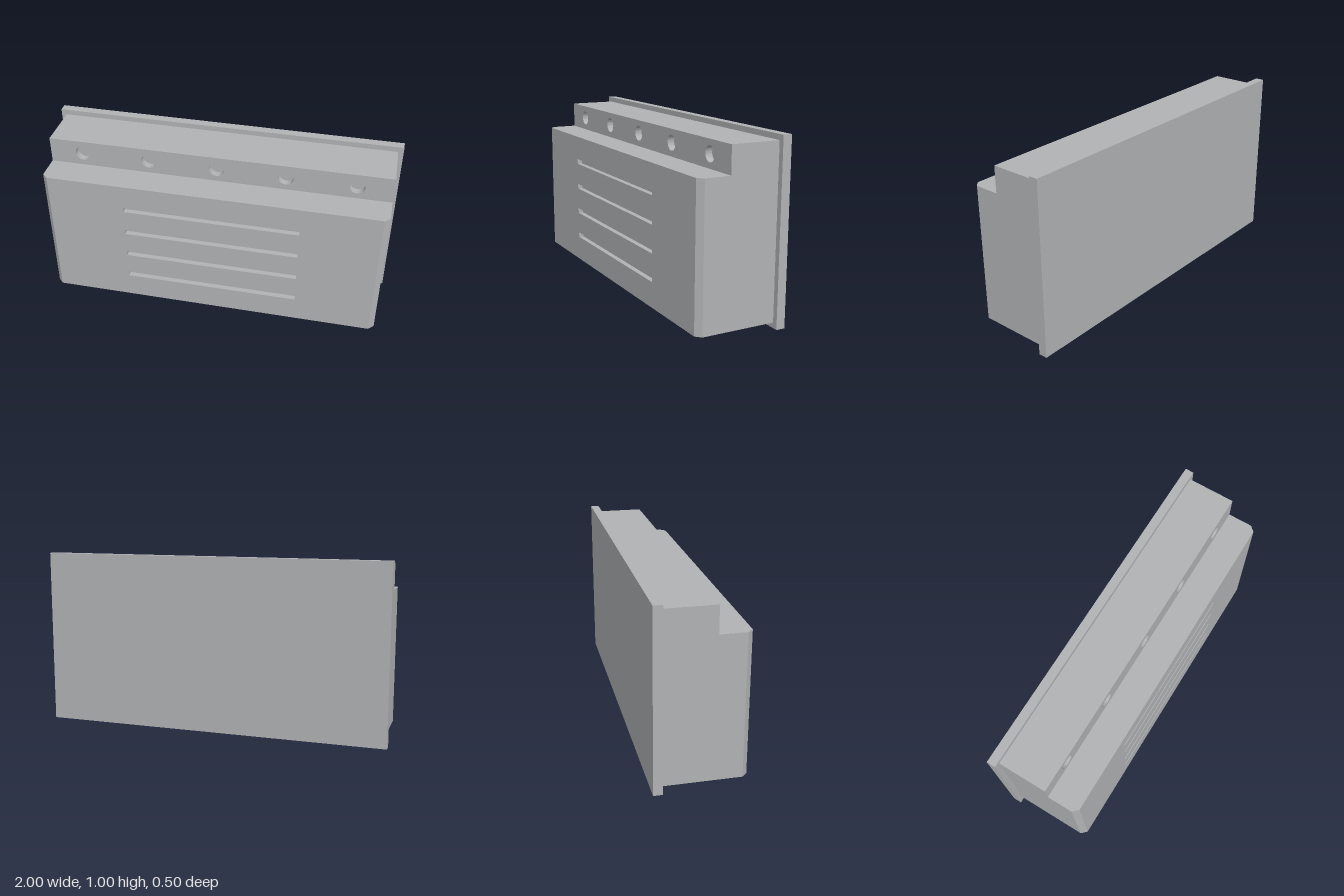
import * as THREE from 'three';
import { toCreasedNormals } from 'three/addons/utils/BufferGeometryUtils.js';

const metal = new THREE.MeshStandardMaterial({ color: 0xb0b2b4 });
metal.name = 'light grey metal';

// Box given by its minimum and maximum corners
function block(name, [x0, y0, z0], [x1, y1, z1]) {
  const geo = new THREE.BoxGeometry(x1 - x0, y1 - y0, z1 - z0);
  geo.translate((x0 + x1) / 2, (y0 + y1) / 2, (z0 + z1) / 2);
  const mesh = new THREE.Mesh(geo, metal);
  mesh.name = name;
  return mesh;
}

function rectangle(path, x0, y0, x1, y1) {
  path.moveTo(x0, y0).lineTo(x1, y0).lineTo(x1, y1).lineTo(x0, y1).closePath();
  return path;
}

// Panel with cut-outs, spanning z0 to z1
function panel(shape, z0, z1) {
  const geo = new THREE.ExtrudeGeometry(shape, { depth: z1 - z0, bevelEnabled: false, curveSegments: 32 });
  return geo.translate(0, 0, z0);
}

export function createModel() {
  const group = new THREE.Group();
  group.name = 'ventedEnclosure';

  const W = 0.97, chamfer = 0.03;
  const bottom = 0.03, step = 0.82, top = 0.97;
  const back = -0.2, front = 0.25, ledge = 0.075, holeDepth = 0.04;

  // Mounting plate and solid cores
  group.add(block('backPlate', [-1, 0, -0.25], [1, 1, back]));
  group.add(block('body', [-W, bottom, back], [W, step, front - chamfer]));
  group.add(block('upperBody', [-W, step, back], [W, top, ledge - holeDepth]));

  // Front panel with four slots; its back edge widens to make the corner chamfers
  const face = W - chamfer;
  const frontShape = rectangle(new THREE.Shape(), -face, bottom, face, step);
  for (let i = 0; i < 4; i++) {
    const y = 0.19 + i * 0.158;
    frontShape.holes.push(rectangle(new THREE.Path(), -0.5, y - 0.015, 0.5, y + 0.015));
  }
  const frontGeo = panel(frontShape, front - chamfer, front);
  const p = frontGeo.attributes.position;
  for (let i = 0; i < p.count; i++) {
    if (Math.abs(p.getX(i)) > 0.9 && p.getZ(i) < front - 0.01) p.setX(i, Math.sign(p.getX(i)) * W);
  }
  frontGeo.computeVertexNormals();
  const frontPanel = new THREE.Mesh(frontGeo, metal);
  frontPanel.name = 'slottedFrontPanel';
  group.add(frontPanel);

  // Upper strip with five round recesses
  const stripShape = rectangle(new THREE.Shape(), -W, step, W, top);
  for (let i = -2; i <= 2; i++) {
    const hole = new THREE.Path();
    hole.absarc(i * 0.388, 0.895, 0.043, 0, Math.PI * 2, true);
    stripShape.holes.push(hole);
  }
  const stripGeo = toCreasedNormals(panel(stripShape, ledge - holeDepth, ledge), 0.6);
  const strip = new THREE.Mesh(stripGeo, metal);
  strip.name = 'upperStripWithHoles';
  group.add(strip);

  return group;
}
